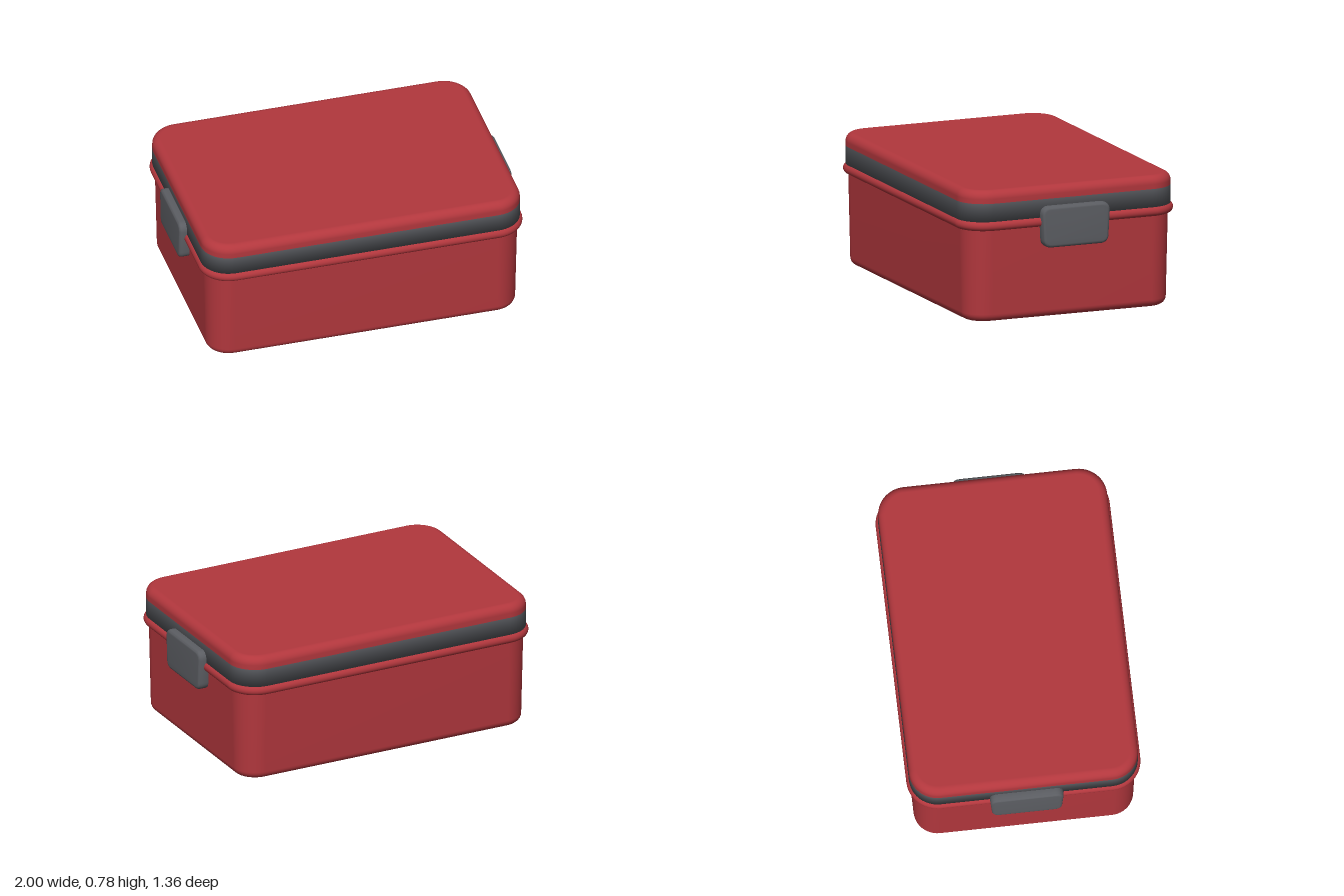
import * as THREE from 'three';
import { toCreasedNormals } from 'three/addons/utils/BufferGeometryUtils.js';

const HX = 0.94, HZ = 0.65, R = 0.15, SEG = 12;

// Rounded-rectangle outline, grown outwards by d
function ring(d) {
  const pts = [];
  const corners = [[1, 1], [-1, 1], [-1, -1], [1, -1]];
  corners.forEach(([sx, sz], q) => {
    for (let i = 0; i <= SEG; i++) {
      const a = (q + i / SEG) * Math.PI / 2;
      pts.push([sx * (HX - R) + (R + d) * Math.cos(a), sz * (HZ - R) + (R + d) * Math.sin(a)]);
    }
  });
  return pts;
}

// Lofts a profile of [outward offset, y] points, bottom to top
function loft(profile, capBottom, capTop) {
  const pos = [], idx = [], n = 4 * (SEG + 1);
  for (const [d, y] of profile) for (const [x, z] of ring(d)) pos.push(x, y, z);
  for (let i = 0; i < profile.length - 1; i++) {
    for (let j = 0; j < n; j++) {
      const a = i * n + j, b = i * n + (j + 1) % n;
      idx.push(a, a + n, b, b, a + n, b + n);
    }
  }
  const cap = (row, flip) => {
    const c = pos.length / 3;
    pos.push(0, profile[row][1], 0);
    for (let j = 0; j < n; j++) {
      const a = row * n + j, b = row * n + (j + 1) % n;
      flip ? idx.push(c, b, a) : idx.push(c, a, b);
    }
  };
  if (capBottom) cap(0, false);
  if (capTop) cap(profile.length - 1, true);
  const g = new THREE.BufferGeometry();
  g.setAttribute('position', new THREE.Float32BufferAttribute(pos, 3));
  g.setIndex(idx);
  g.computeVertexNormals();
  return g;
}

// Quarter-round or longer arc of profile points
function arc(cd, cy, rd, ry, from, to, steps = 6) {
  return Array.from({ length: steps + 1 }, (_, i) => {
    const a = from + (to - from) * i / steps;
    return [cd + rd * Math.cos(a), cy + ry * Math.sin(a)];
  });
}

// Clip plate: rounded, slightly tapered towards the bottom
function clipGeometry() {
  const b = 0.018, top = 0.665 - b, bot = 0.422 + b, wt = 0.213 - b, wb = 0.205 - b, r = 0.032;
  const s = new THREE.Shape();
  s.moveTo(-wb + r, bot);
  s.lineTo(wb - r, bot);
  s.quadraticCurveTo(wb, bot, wb, bot + r);
  s.lineTo(wt, top - r);
  s.quadraticCurveTo(wt, top, wt - r, top);
  s.lineTo(-wt + r, top);
  s.quadraticCurveTo(-wt, top, -wt, top - r);
  s.lineTo(-wb, bot + r);
  s.quadraticCurveTo(-wb, bot, -wb + r, bot);
  const g = new THREE.ExtrudeGeometry(s, {
    depth: 0.04, bevelEnabled: true, bevelSize: b, bevelThickness: b, bevelSegments: 4, curveSegments: 6,
  });
  g.translate(0, 0, 1 - 0.04 - b);
  return toCreasedNormals(g, 0.7);
}

export function createModel() {
  const red = new THREE.MeshStandardMaterial({ color: 0xb2373d });
  red.name = 'red';
  const grey = new THREE.MeshStandardMaterial({ color: 0x5b5d62 });
  grey.name = 'grey';
  const group = new THREE.Group();
  group.name = 'lunchBox';
  const add = (name, geometry, material) => {
    const m = new THREE.Mesh(geometry, material);
    m.name = name;
    group.add(m);
    return m;
  };
  const H = Math.PI / 2;

  // Tapered box body with a rounded bottom edge
  add('body', loft([...arc(-0.055, 0.045, 0.043, 0.045, -H, 0), [0, 0.56], [0, 0.59]], true, true), red);

  // Rounded lip around the opening
  add('rim', loft([[-0.01, 0.543], ...arc(0.003, 0.572, 0.027, 0.029, -H, H, 10), [-0.02, 0.601]], false, false), red);

  // Lid: grey band below, red rounded top
  add('lidBand', loft([[0.015, 0.595], [0.015, 0.705]], true, false), grey);
  add('lidTop', loft([[0.015, 0.705], ...arc(-0.033, 0.732, 0.048, 0.048, 0, H, 8)], false, true), red);

  // Side clips
  const clip = clipGeometry();
  for (const side of [1, -1]) {
    add(side > 0 ? 'leftClip' : 'rightClip', clip, grey).rotation.y = side * H;
  }
  return group;
}
